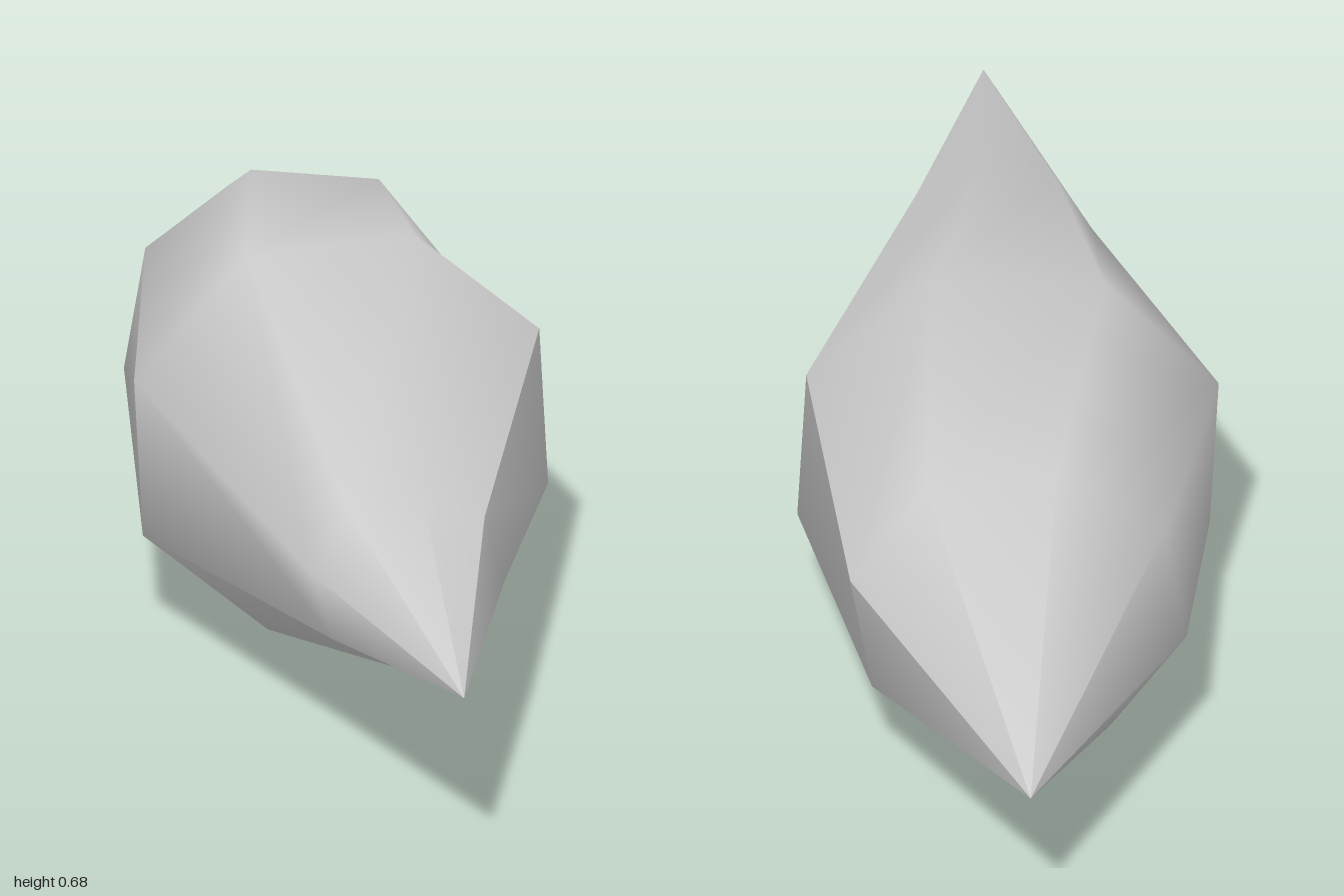
import * as THREE from 'three';

const SIDES = 8;
const CENTRE_Y = 0.339;
// Cross-sections from front tip to back tip: [z, radius, starting angle in degrees]
const RINGS = [
  [1, 0, 38],
  [0.53, 0.158, 38],
  [-0.04, 0.359, 25.5],
  [-0.48, 0.277, 13],
  [-1, 0, 13],
];

// Twisted eight-sided spindle, smooth shaded, with one open seam that stays sharp
function spindleGeometry() {
  const positions = [], index = [];
  for (const [z, radius, start] of RINGS) {
    for (let j = 0; j <= SIDES; j++) {
      const angle = THREE.MathUtils.degToRad(start + (j * 360) / SIDES);
      positions.push(radius * Math.cos(angle), CENTRE_Y + radius * Math.sin(angle), z);
    }
  }
  const last = RINGS.length - 2;
  for (let i = 0; i <= last; i++) {
    for (let j = 0; j < SIDES; j++) {
      const front = i * (SIDES + 1) + j;
      const back = front + SIDES + 1;
      if (i > 0) index.push(front, back, front + 1);
      if (i < last) index.push(front + 1, back, back + 1);
    }
  }
  const geometry = new THREE.BufferGeometry();
  geometry.setAttribute('position', new THREE.Float32BufferAttribute(positions, 3));
  geometry.setIndex(index);
  geometry.computeVertexNormals();
  return geometry;
}

export function createModel() {
  const group = new THREE.Group();
  group.name = 'crystalShard';
  const grey = new THREE.MeshStandardMaterial({ color: 0xcccccc });
  grey.name = 'light grey';
  const body = new THREE.Mesh(spindleGeometry(), grey);
  body.name = 'shardBody';
  group.add(body);
  return group;
}
